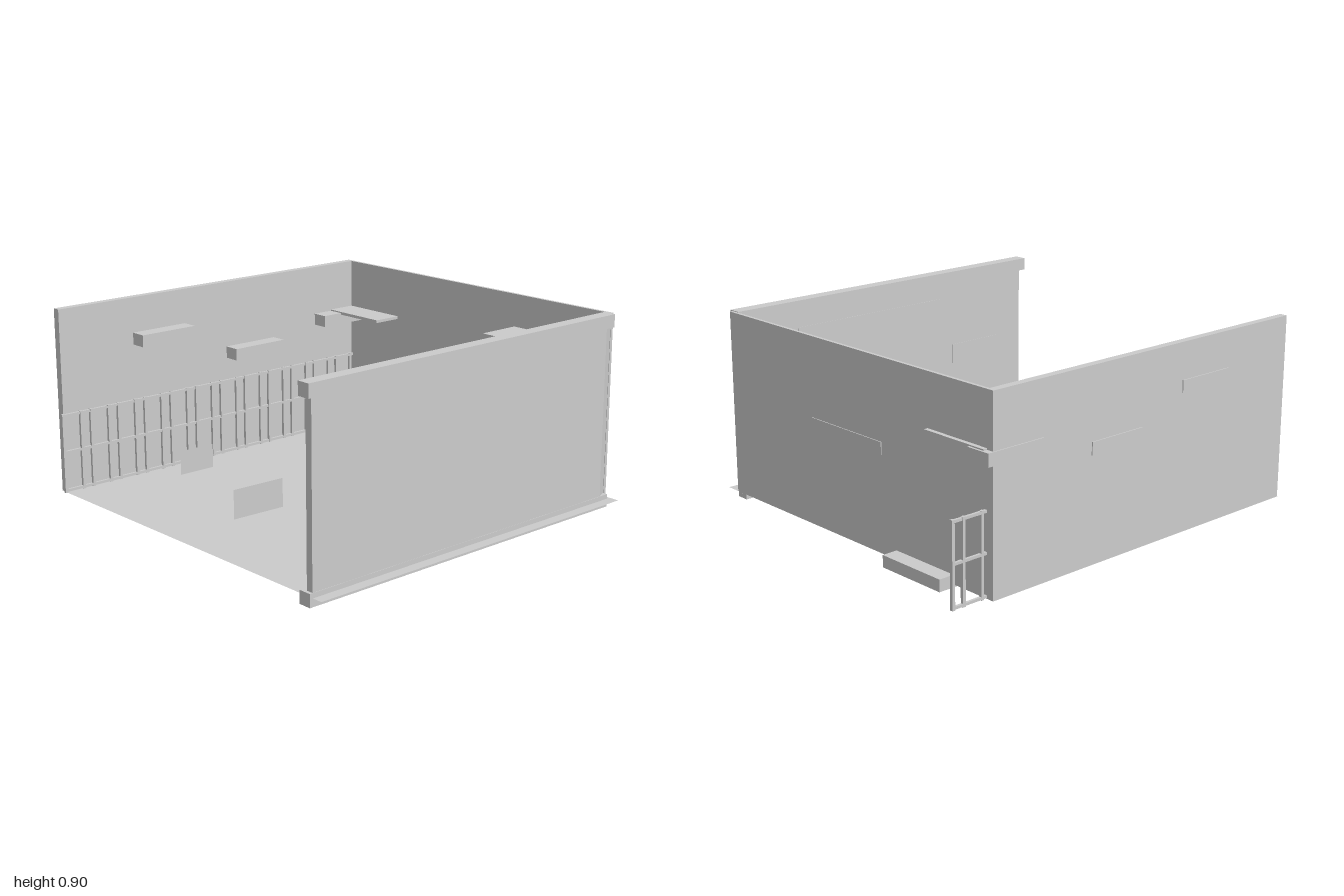
import * as THREE from 'three';

const mat = new THREE.MeshStandardMaterial({ color: 0xcccccc, side: THREE.DoubleSide });

export function createModel() {
  const room = new THREE.Group();
  room.name = 'room';

  const add = (name, geometry, parent = room) => {
    const mesh = new THREE.Mesh(geometry, mat);
    mesh.name = name;
    parent.add(mesh);
    return mesh;
  };
  // box given by its limits on each axis
  const box = (name, x0, x1, y0, y1, z0, z1, parent) => {
    const mesh = add(name, new THREE.BoxGeometry(x1 - x0, y1 - y0, z1 - z0), parent);
    mesh.position.set((x0 + x1) / 2, (y0 + y1) / 2, (z0 + z1) / 2);
    return mesh;
  };
  // thin upright sheet between two floor points
  const sheet = (name, x0, z0, x1, z1, y0, y1) => {
    const mesh = add(name, new THREE.PlaneGeometry(Math.hypot(x1 - x0, z1 - z0), y1 - y0));
    mesh.position.set((x0 + x1) / 2, (y0 + y1) / 2, (z0 + z1) / 2);
    mesh.rotation.y = Math.atan2(z0 - z1, x1 - x0);
    return mesh;
  };

  // floor and walls
  const floor = add('floor', new THREE.PlaneGeometry(1.83, 1.8));
  floor.rotation.x = -Math.PI / 2;
  floor.position.set(0, 0.043, 0.08);
  box('rightWall', -0.914, -0.878, 0.043, 0.905, -0.82, 0.975);
  box('backWall', -0.914, 0.84, 0.043, 0.905, -0.82, -0.805);

  // left wall with a chamfered back corner
  const plan = new THREE.Shape([
    [0.83, -0.98], [0.863, -0.98], [0.863, 0.75], [0.838, 0.805], [0.83, 0.805],
  ].map(([x, y]) => new THREE.Vector2(x, y)));
  const leftWall = add('leftWall', new THREE.ExtrudeGeometry(plan, { depth: 0.86, bevelEnabled: false }));
  leftWall.rotation.x = -Math.PI / 2;
  leftWall.position.y = 0.03;
  box('topTrim', 0.804, 0.865, 0.846, 0.906, -0.8, 0.995);
  box('bottomTrim', 0.804, 0.865, 0.006, 0.065, -0.8, 0.995);

  // flat panels on the inside of the left wall
  box('largeWallPanel', 0.828, 0.832, 0.2, 0.77, -0.45, 0.44);
  box('smallWallPanel', 0.828, 0.832, 0.235, 0.52, 0.51, 0.82);

  // railing along the right wall, running out past the back
  const railing = new THREE.Group();
  railing.name = 'railing';
  room.add(railing);
  for (const y of [0.052, 0.235, 0.41]) box('rail', -0.878, -0.866, y - 0.006, y + 0.006, -1, 0.985, railing);
  for (let i = 0; i <= 13; i++) {
    for (const offset of [0, 0.055]) {
      const z = -0.994 + i * 0.152 + offset;
      if (z < 0.99) box('railingPost', -0.879, -0.865, 0.043, 0.418, z - 0.007, z + 0.007, railing);
    }
  }

  // boxes on the right wall: bottom height and back edge
  for (const [y, z] of [[0.605, -0.85], [0.525, -0.275], [0.68, 0.275]]) {
    box('wallBox', -0.919, -0.8, y, y + 0.057, z, z + 0.3);
  }

  // shelves and bench on the back wall
  box('cornerShelf', -0.88, -0.53, 0.654, 0.668, -0.84, -0.66);
  box('middleShelf', -0.235, 0.24, 0.484, 0.54, -0.824, -0.735);
  box('upperShelf', 0.264, 0.83, 0.69, 0.748, -0.806, -0.59);
  box('lowerShelf', 0.256, 0.83, 0.165, 0.192, -0.806, -0.76);
  box('bench', -0.68, -0.322, 0.03, 0.085, -0.895, -0.6);

  // upright sheets standing around the floor
  sheet('sheet', -0.723, 0.435, -0.72, 0.245, 0.045, 0.162);
  sheet('sheet', -0.57, -0.22, -0.505, -0.32, 0.095, 0.27);
  sheet('sheet', -0.056, 0.64, -0.044, 0.37, 0.002, 0.18);
  sheet('sheet', 0.148, 0.21, 0.238, 0.0, 0.07, 0.187);

  // ball
  const ball = add('ball', new THREE.SphereGeometry(0.059, 32, 20));
  ball.position.set(0.017, 0.133, 0.15);

  // small domed cones, tipped towards the nearer end of the room
  for (const [x, y, z] of [
    [0.697, 0.185, -0.515], [0.752, 0.185, -0.375], [0.757, 0.188, 0.595], [0.672, 0.222, 0.72],
  ]) {
    const cone = new THREE.Group();
    cone.name = 'domedCone';
    const body = add('coneBody', new THREE.CylinderGeometry(0.027, 0.007, 0.055, 20, 1, true), cone);
    body.position.y = -0.0275;
    const dome = add('coneDome', new THREE.SphereGeometry(0.027, 20, 8, 0, Math.PI * 2, 0, Math.PI / 2), cone);
    dome.scale.y = 0.4;
    const tip = add('coneTip', new THREE.SphereGeometry(0.009, 12, 8), cone);
    tip.position.y = -0.055;
    cone.position.set(x, y, z);
    cone.rotation.x = -Math.sign(z) * 0.95;
    room.add(cone);
  }

  return room;
}
